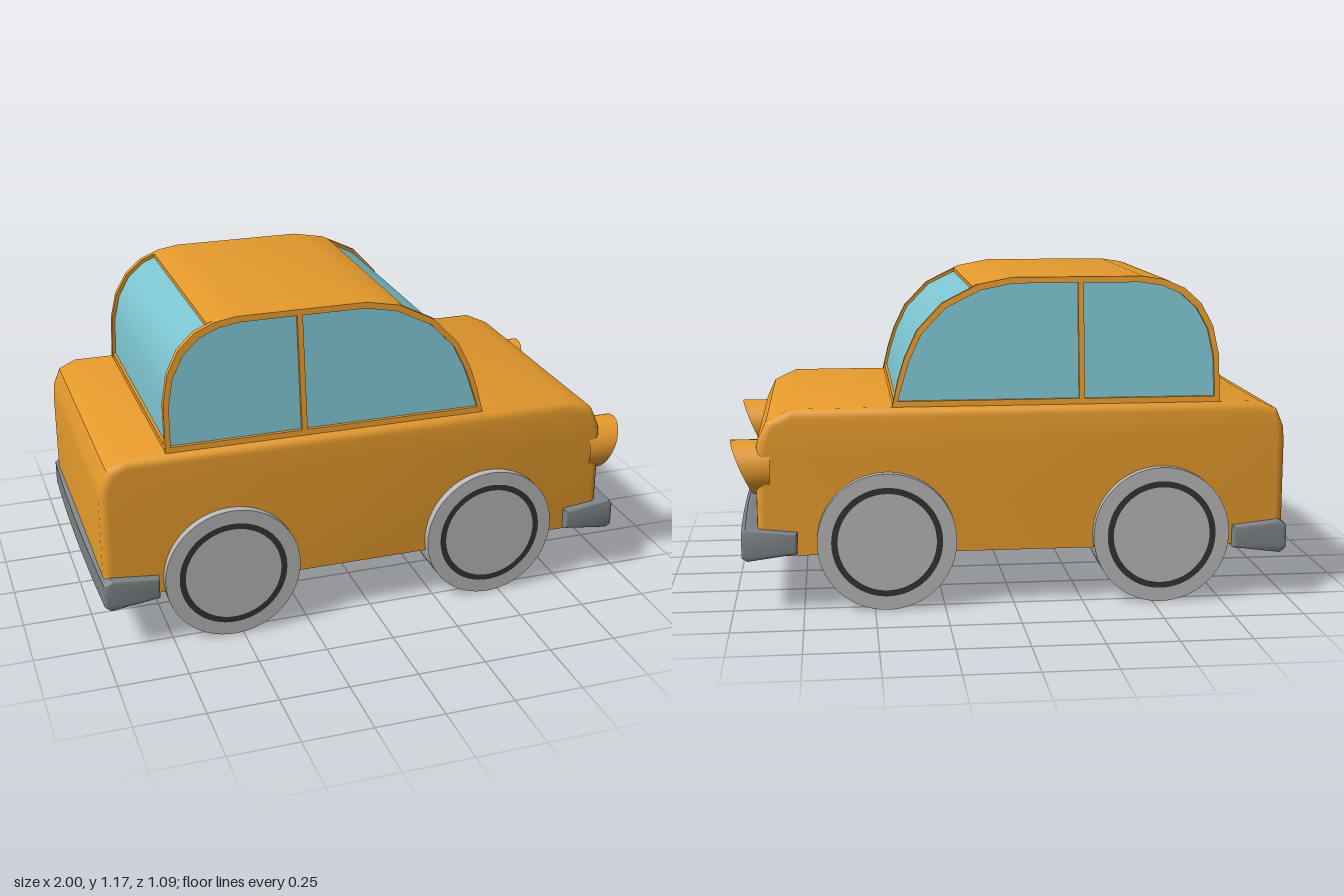
import * as THREE from 'three';
import { toCreasedNormals } from 'three/addons/utils/BufferGeometryUtils.js';

const mat = (color) => new THREE.MeshStandardMaterial({ color, side: THREE.DoubleSide });
const paint = mat(0xe59a2c), glass = mat(0x7cc4d0), metal = mat(0x7c8286);
const tyre = mat(0xb8b8b8), dark = mat(0x333333), lamp = mat(0xd2d21c);

const vecs = (pts) => pts.map(([x, y]) => new THREE.Vector2(x, y));

// Side profile extruded across the car from z0 to z1
function prism(pts, z0, z1, { holes = [], bevel = 0, steps = 1 } = {}) {
  const shape = new THREE.Shape(vecs(pts));
  holes.forEach((h) => shape.holes.push(new THREE.Path(vecs(h))));
  const geo = new THREE.ExtrudeGeometry(shape, {
    depth: z1 - z0 - 2 * bevel, steps, bevelEnabled: bevel > 0,
    bevelSize: bevel, bevelThickness: bevel, bevelOffset: -bevel, bevelSegments: 4,
  });
  return geo.translate(0, 0, z0 + bevel);
}

// Moves every vertex by a rule
function warp(geo, rule) {
  const p = geo.attributes.position, v = new THREE.Vector3();
  for (let i = 0; i < p.count; i++) {
    v.fromBufferAttribute(p, i);
    rule(v);
    p.setXYZ(i, v.x, v.y, v.z);
  }
  return geo;
}

export function createModel() {
  const car = new THREE.Group();
  car.name = 'car';
  const add = (name, geo, material, crease = 0.6) => {
    const mesh = new THREE.Mesh(toCreasedNormals(geo, crease), material);
    mesh.name = name;
    car.add(mesh);
    return mesh;
  };

  // Lower body, rounded above and flat underneath
  const bodyPts = [[-0.985, 0.2], [0.91, 0.2], [0.91, 0.56], [0.903, 0.61], [0.87, 0.68],
    [0.785, 0.72], [-0.89, 0.72], [-0.955, 0.69], [-0.98, 0.63], [-0.985, 0.58]];
  add('body', warp(prism(bodyPts, -0.515, 0.515, { bevel: 0.03 }), (v) => {
    if (v.y < 0.24) v.y = 0.2;
  }), paint);

  // Cabin outline; everything in the cabin leans inward with height
  const base = 0.72, midX = -0.16;
  const cabin = [[0.43, base], [0.41, 0.81], [0.385, 0.89], [0.34, 0.985], [0.25, 1.08],
    [0.12, 1.145], [0, 1.168], [-0.47, 1.168], [-0.55, 1.155], [-0.62, 1.125],
    [-0.68, 1.07], [-0.722, 0.99], [-0.742, 0.89], [-0.745, base]];
  const inset = (sx, sy) => cabin.map(([x, y]) => [midX + (x - midX) * sx, base + (y - base) * sy]);
  const lean = (geo) => warp(geo, (v) => { v.z *= 1 - 0.25 * (v.y - base); });

  add('glass', lean(prism(inset(0.98, 0.975), -0.477, 0.477)), glass);

  // Side frames with two window openings either side of the door pillar
  const opening = inset(0.967, 0.952);
  const sill = 0.74, pillarA = -0.255, pillarB = -0.235, roofY = 1.147;
  const lift = ([x, y]) => [x, Math.max(y, sill)];
  const frontWindow = [[pillarB, sill], ...opening.filter(([x]) => x > pillarB).map(lift), [pillarB, roofY]];
  const rearWindow = [[pillarA, sill], [pillarA, roofY], ...opening.filter(([x]) => x < pillarA).map(lift)];
  for (const [side, z0] of [['left', 0.465], ['right', -0.49]]) {
    // The car drives toward +x, so its sides are named by z
    add(side === 'left' ? 'nearWindowFrame' : 'farWindowFrame',
      lean(prism(cabin, z0, z0 + 0.025, { holes: [frontWindow, rearWindow] })), paint, 0.4);
  }

  // Roof panel and the strip around the cabin base
  const roofPts = [[0.14, 1.09], [0.14, 1.136], ...cabin.filter(([x, y]) => y > 1.14 && x > -0.57),
    [-0.57, 1.148], [-0.57, 1.09]];
  add('roof', lean(prism(roofPts, -0.468, 0.468)), paint);
  add('cabinBase', lean(prism([[-0.744, 0.71], [0.429, 0.71], [0.424, sill], [-0.744, sill]],
    -0.48, 0.48)), paint);

  // Wheels with a dark ring on the outer face
  for (const [end, x] of [['front', 0.455], ['rear', -0.53]]) {
    for (const s of [1, -1]) {
      const wheel = new THREE.CylinderGeometry(0.247, 0.247, 0.155, 64).rotateX(Math.PI / 2);
      add(end + 'Wheel', wheel.translate(x, 0.247, s * 0.4675), tyre);
      const ring = new THREE.RingGeometry(0.175, 0.197, 64);
      if (s < 0) ring.rotateY(Math.PI);
      add(end + 'WheelRing', ring.translate(x, 0.247, s * 0.5465), dark);
    }
  }

  // Bumpers, bowed slightly outward in the middle
  const bumpers = {
    frontBumper: [[0.77, 0.21], [0.945, 0.187], [0.965, 0.2], [0.965, 0.285], [0.95, 0.305], [0.77, 0.285]],
    rearBumper: [[-0.795, 0.19], [-0.795, 0.27], [-0.965, 0.288], [-0.992, 0.27], [-0.992, 0.185], [-0.97, 0.167]],
  };
  for (const [name, pts] of Object.entries(bumpers)) {
    const geo = prism(pts, -0.543, 0.543, { bevel: 0.012, steps: 10 });
    add(name, warp(geo, (v) => {
      if (Math.abs(v.x) > 0.9) v.x += Math.sign(v.x) * 0.01 * (1 - (v.z / 0.543) ** 2);
    }), metal);
  }

  // Headlights: hooded cups whose rim is cut at a slant, longer at the top
  const rimX = (y) => 0.918 + (y + 0.097) * 0.42;
  const cup = (pts, backX) => warp(
    new THREE.LatheGeometry(vecs(pts), 40).rotateZ(-Math.PI / 2),
    (v) => { v.x = backX + (rimX(v.y) - backX) * v.x; });
  for (const s of [1, -1]) {
    const at = [0, 0.507, s * 0.432];
    add('headlightHood', cup([[0.097, 0], [0.097, 1], [0.089, 1]], 0.86).translate(...at), paint);
    add('headlightLamp', cup([[0.089, 1], [0.087, 0], [0, 0]], 0.914).translate(...at), lamp);
  }
  return car;
}
